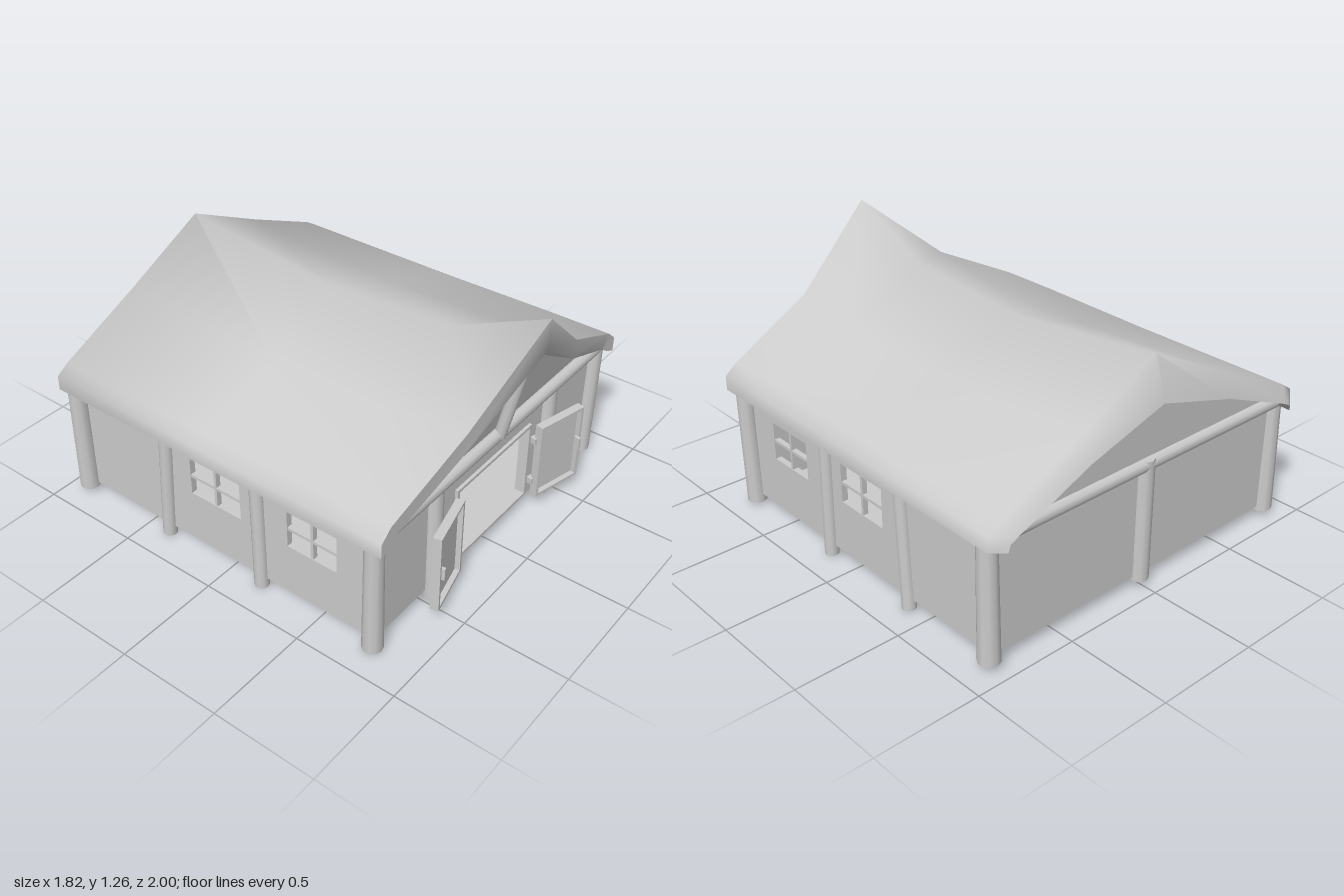
import * as THREE from 'three';
import { toCreasedNormals } from 'three/addons/utils/BufferGeometryUtils.js';

const grey = new THREE.MeshStandardMaterial({ color: 0xcccccc, side: THREE.DoubleSide });

function add(parent, name, geo, x = 0, y = 0, z = 0) {
  const mesh = new THREE.Mesh(geo, grey);
  mesh.name = name;
  mesh.position.set(x, y, z);
  parent.add(mesh);
  return mesh;
}

const box = (parent, name, w, h, d, x, y, z) =>
  add(parent, name, new THREE.BoxGeometry(w, h, d), x, y, z);

// Round timber from point a to point b
function timber(parent, name, a, b, r0, r1 = r0) {
  const from = new THREE.Vector3(...a), to = new THREE.Vector3(...b);
  const dir = to.clone().sub(from);
  const geo = new THREE.CylinderGeometry(r1, r0, dir.length(), 10);
  const mesh = add(parent, name, geo);
  mesh.position.copy(from).add(to).multiplyScalar(0.5);
  mesh.quaternion.setFromUnitVectors(new THREE.Vector3(0, 1, 0), dir.normalize());
  return mesh;
}

const rectPoints = (x0, y0, x1, y1) =>
  [[x0, y0], [x1, y0], [x1, y1], [x0, y1]].map(([x, y]) => new THREE.Vector2(x, y));

// Flat panel with rectangular holes, centred on its thickness
function panel(x0, y0, x1, y1, depth, holes = []) {
  const shape = new THREE.Shape(rectPoints(x0, y0, x1, y1));
  for (const h of holes) shape.holes.push(new THREE.Path(rectPoints(...h).reverse()));
  return new THREE.ExtrudeGeometry(shape, { depth, bevelEnabled: false }).translate(0, 0, -depth / 2);
}

// Sagging roof: thick cross-sections lofted from the front to the back
function roofGeometry() {
  // y and z at the ridge, the kink and the shoulder, outside and inside
  const stations = [
    { y: [1.26, 0.91, 0.70], z: [1.0, 0.91, 0.86], yi: [1.11, 0.81, 0.64], zi: [0.995, 0.905, 0.86], e: 0.9 },
    { y: [1.055, 0.86, 0.70], z: [0.55, 0.55, 0.55], yi: [0.955, 0.77, 0.63], e: 0.9 },
    { y: [1.005, 0.84, 0.69], z: [-0.1, -0.1, -0.1], yi: [0.91, 0.76, 0.63], e: 0.9 },
    { y: [1.10, 0.89, 0.69], z: [-0.93, -0.94, -0.95], yi: [0.9, 0.78, 0.63], zi: [-0.985, -0.99, -1], e: 0.85 },
  ];
  const full = (half) => [...half.slice().reverse(), ...half.slice(1).map(([x, y, z]) => [-x, y, z])];
  const pos = [], index = [];
  for (const { y, z, yi, zi = z, e } of stations) {
    const outer = [[0, y[0], z[0]], [0.42, y[1], z[1]], [0.85, y[2], z[2]], [0.91, 0.65, z[2]], [0.91, 0.58, z[2]]];
    const inner = [[0, yi[0], zi[0]], [0.42, yi[1], zi[1]], [0.8, yi[2], zi[2]], [0.84, 0.61, zi[2]], [e, 0.58, zi[2]]];
    pos.push(...full(outer).flat(), ...full(inner).reverse().flat());
  }
  const n = 18, last = (stations.length - 1) * n;
  for (let j = 0; j < last; j += n) {
    for (let i = 0; i < n; i++) {
      const k = (i + 1) % n;
      index.push(j + i, j + n + i, j + k, j + k, j + n + i, j + n + k);
    }
  }
  // Rims between outer and inner profiles
  for (let i = 0; i < 8; i++) {
    const a = i, b = i + 1, c = 16 - i, d = 17 - i;
    index.push(a, b, c, a, c, d);
    index.push(last + a, last + c, last + b, last + a, last + d, last + c);
  }
  const geo = new THREE.BufferGeometry();
  geo.setAttribute('position', new THREE.Float32BufferAttribute(pos, 3));
  geo.setIndex(index);
  return toCreasedNormals(geo, 1.45);
}

// Gable panel leaning outward with height
function gable(apex, kink, z, lean) {
  const shape = new THREE.Shape([[-0.83, 0.57], [0.83, 0.57], [0.82, 0.63], [0.42, kink], [0, apex], [-0.42, kink], [-0.82, 0.63]]
    .map(([x, y]) => new THREE.Vector2(x, y)));
  const geo = new THREE.ExtrudeGeometry(shape, { depth: 0.02, bevelEnabled: false });
  const p = geo.attributes.position;
  for (let i = 0; i < p.count; i++) p.setZ(i, p.getZ(i) + z + (p.getY(i) - 0.57) * lean);
  geo.computeVertexNormals();
  return geo;
}

// Open door swung outward; side is +1 or -1
function door(side) {
  const g = new THREE.Group();
  g.name = side > 0 ? 'leftDoor' : 'rightDoor';
  const x0 = Math.min(0, side * 0.27), x1 = Math.max(0, side * 0.27);
  add(g, 'doorFrame', panel(x0, 0.07, x1, 0.465, 0.04, [[x0 + 0.015, 0.085, x1 - 0.015, 0.45]]));
  add(g, 'doorPanel', panel(x0 + 0.01, 0.08, x1 - 0.01, 0.455, 0.012), 0, 0, -0.01);
  box(g, 'doorHandle', 0.015, 0.06, 0.03, side * 0.25, 0.27, 0.02);
  for (const y of [0.15, 0.38]) box(g, 'hinge', 0.03, 0.03, 0.03, 0, y, -0.02);
  g.position.set(side * 0.315, 0, 0.83);
  g.rotation.y = -side * 0.24;
  return g;
}

export function createModel() {
  const model = new THREE.Group();
  model.name = 'cabin';

  add(model, 'roof', roofGeometry());
  add(model, 'frontGable', gable(1.08, 0.81, 0.76, 0.2));
  add(model, 'backGable', gable(0.93, 0.8, -0.91, -0.03));

  // Floor and walls
  box(model, 'floor', 1.68, 0.03, 1.68, 0, 0.065, -0.06);
  add(model, 'frontWall', panel(-0.83, 0.05, 0.83, 0.6, 0.03, [[-0.28, 0.08, 0.29, 0.465]]), 0, 0, 0.77);
  add(model, 'doorwayTrim', panel(-0.29, 0.07, 0.3, 0.475, 0.05, [[-0.275, 0.085, 0.285, 0.46]]), 0, 0, 0.775);
  add(model, 'backWall', panel(-0.83, 0.05, 0.83, 0.6, 0.03), 0, 0, -0.89);

  // Side walls with four-pane windows (z0, y0, z1, y1)
  const windows = [[0.33, 0.305, 0.59, 0.49], [-0.215, 0.31, 0.07, 0.5]];
  for (const side of [-1, 1]) {
    const x = side * 0.83;
    const holes = windows.map(([a, b, c, d]) => [-c, b, -a, d]);
    add(model, 'sideWall', panel(-0.78, 0.05, 0.9, 0.62, 0.03, holes).rotateY(Math.PI / 2), x, 0, 0);
    for (const [z0, y0, z1, y1] of windows) {
      box(model, 'windowUpright', 0.025, y1 - y0, 0.014, x, (y0 + y1) / 2, (z0 + z1) / 2);
      box(model, 'windowCrossbar', 0.025, 0.014, z1 - z0, x, (y0 + y1) / 2, (z0 + z1) / 2);
    }
    // Posts
    timber(model, 'frontCornerPost', [side * 0.85, 0.01, 0.78], [side * 0.86, 0.62, 0.79], 0.047, 0.042);
    timber(model, 'backCornerPost', [side * 0.855, 0.03, -0.895], [side * 0.86, 0.62, -0.89], 0.05, 0.045);
    timber(model, 'sidePost', [side * 0.845, 0, 0.175], [side * 0.845, 0.62, 0.17], 0.034);
    timber(model, 'sidePost', [side * 0.845, 0, -0.38], [side * 0.845, 0.62, -0.345], 0.034);
    timber(model, 'frontPost', [side * 0.445, 0, 0.79], [side * 0.45, 0.6, 0.785], 0.042);
    model.add(door(side));
  }
  timber(model, 'backPost', [0, 0.03, -0.9], [0, 0.62, -0.9], 0.045);

  // Tie beams and king post
  timber(model, 'frontBeam', [-0.86, 0.605, 0.8], [0.86, 0.605, 0.8], 0.033);
  timber(model, 'backBeam', [-0.86, 0.595, -0.91], [0.86, 0.595, -0.91], 0.033);
  timber(model, 'kingPost', [0, 0.6, 0.81], [0, 1.12, 0.93], 0.028);

  // Round-backed bench inside
  box(model, 'bench', 0.85, 0.26, 0.33, 0.07, 0.19, -0.71);
  const back = new THREE.CylinderGeometry(0.13, 0.13, 0.04, 24).rotateX(Math.PI / 2);
  add(model, 'benchBack', back, 0.07, 0.3, -0.84);

  return model;
}
